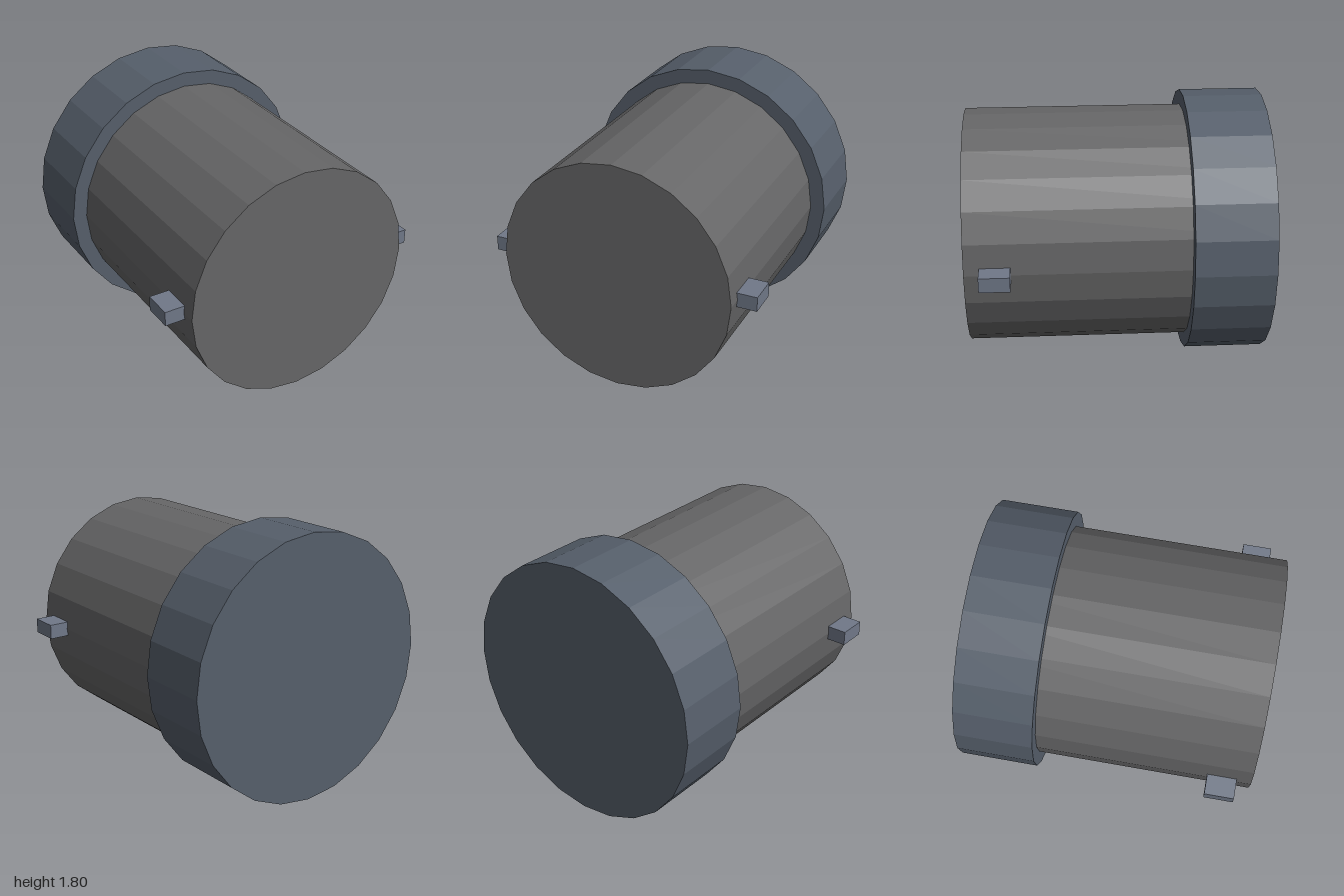
import * as THREE from 'three';

const AXIS_Y = 0.9;
const SIDES = 24;

const material = (color) => new THREE.MeshStandardMaterial({ color, flatShading: true });

export function createModel() {
  const model = new THREE.Group();
  model.name = 'plug';

  // Solid drum lying along z between two depths
  const addDrum = (name, radius, zBack, zFront, color) => {
    const geometry = new THREE.CylinderGeometry(radius, radius, zFront - zBack, SIDES);
    geometry.rotateX(Math.PI / 2);
    const drum = new THREE.Mesh(geometry, material(color));
    drum.name = name;
    drum.position.set(0, AXIS_Y, (zFront + zBack) / 2);
    model.add(drum);
  };

  // Main barrel, ending just inside the rear collar
  addDrum('barrel', 0.8, -0.99, 1, 0x666667);
  addDrum('rearCollar', 0.9, -1, -0.47, 0x565f6b);

  // Small locking lugs on both sides, sunk into the barrel
  const lugGeometry = new THREE.BoxGeometry(0.2, 0.1, 0.2);
  const lugMaterial = material(0x707888);
  for (const side of [1, -1]) {
    const lug = new THREE.Mesh(lugGeometry, lugMaterial);
    lug.name = side > 0 ? 'leftLug' : 'rightLug';
    lug.position.set(side * 0.83, AXIS_Y, 0.8);
    model.add(lug);
  }

  return model;
}
